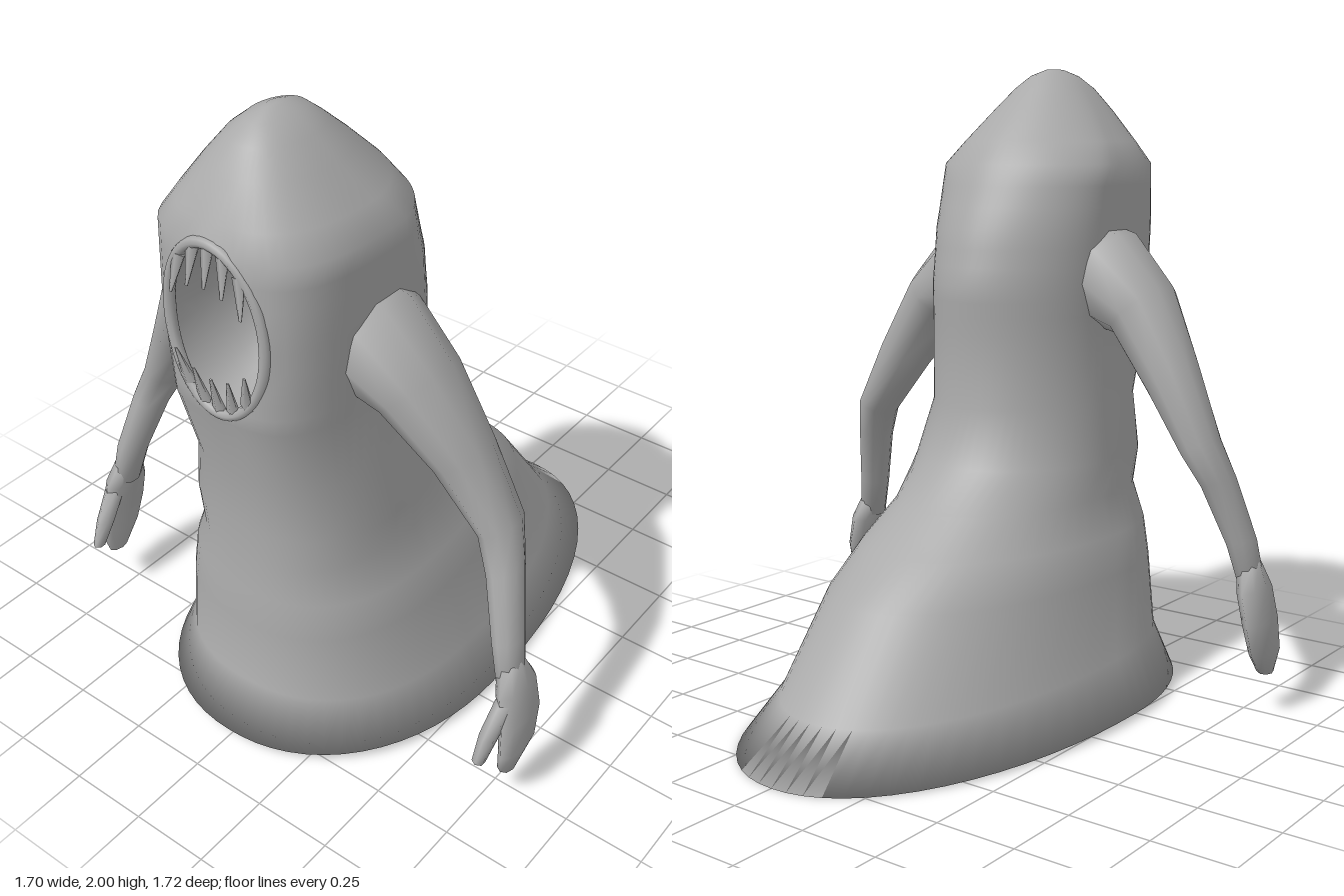
import * as THREE from 'three';

const SKIN = 0xaaaaaa;
const material = new THREE.MeshStandardMaterial({ color: SKIN });
const MOUTH = { y: 1.455, z: 0.8, rx: 0.168, ry: 0.262 };

// The face curves back slightly towards the sides of the mouth
const sag = (x) => -0.012 * (x / MOUTH.rx) ** 2;

// Skins a list of closed rings (arrays of Vector3) and caps both ends; keep() can leave faces out
function loft(rings, keep = () => true) {
  const n = rings[0].length, index = [];
  const points = rings.flat();
  const tri = (a, b, c) => { if (keep(a, b, c)) index.push(a, b, c); };
  for (let i = 0; i < rings.length - 1; i++) {
    for (let j = 0; j < n; j++) {
      const k = (j + 1) % n;
      const a = i * n + j, b = i * n + k, c = a + n, d = b + n;
      tri(a, b, d);
      tri(a, d, c);
    }
  }
  // Caps share the end corners, so the shading rolls over the edge
  for (const start of [0, (rings.length - 1) * n]) {
    const mid = new THREE.Vector3();
    for (let j = 0; j < n; j++) mid.addScaledVector(points[start + j], 1 / n);
    points.push(mid);
    for (let j = 0; j < n; j++) {
      const a = start + j, b = start + (j + 1) % n;
      index.push(...(start === 0 ? [b, a] : [a, b]), points.length - 1);
    }
  }
  const geometry = new THREE.BufferGeometry().setFromPoints(points);
  geometry.setIndex(index);
  geometry.computeVertexNormals();
  return geometry;
}

function addMesh(parent, name, geometry, mat = material) {
  const mesh = new THREE.Mesh(geometry, mat);
  mesh.name = name;
  parent.add(mesh);
  return mesh;
}

// y at the front, drop towards the back, front z, back z, half width,
// z of widest point, front and back squareness
const BODY = [
  [0.03, 0.03, 0.86, -0.86, 0.53, 0.2, 2.15, 2.1],
  [0.19, 0.05, 0.78, -0.7, 0.45, 0.22, 2.3, 2.1],
  [0.42, 0, 0.77, -0.49, 0.4, 0.28, 2.4, 2.1],
  [0.54, 0, 0.757, -0.33, 0.37, 0.31, 2.45, 2.1],
  [0.65, 0, 0.745, -0.18, 0.315, 0.33, 2.5, 2.1],
  [0.77, 0, 0.745, -0.045, 0.33, 0.36, 2.5, 2],
  [0.95, 0, 0.745, 0.02, 0.287, 0.38, 2.7, 2],
  [1.18, 0, 0.8, 0.01, 0.285, 0.37, 3.3, 1.9],
  [1.33, 0, 0.803, 0, 0.29, 0.36, 3.5, 1.8],
  [1.5, 0, 0.803, 0.04, 0.297, 0.36, 3.5, 1.8],
  [1.7, 0, 0.797, 0.125, 0.304, 0.38, 3.2, 1.8],
  [1.77, 0, 0.775, 0.175, 0.255, 0.43, 2.7, 1.8],
  [1.87, 0, 0.715, 0.28, 0.175, 0.48, 2.4, 1.9],
  [1.94, 0, 0.66, 0.36, 0.115, 0.5, 2.2, 2],
  [1.98, 0, 0.61, 0.41, 0.065, 0.51, 2, 2],
  [2.0, 0, 0.55, 0.47, 0.02, 0.51, 2, 2],
];

function bodyRing([y, drop, zf, zb, w, zc, nf, nb]) {
  return Array.from({ length: 64 }, (_, j) => {
    const t = (j / 64) * Math.PI * 2, s = Math.sin(t), c = Math.cos(t);
    const n = c > 0 ? nf : nb;
    const r = (Math.abs(s) ** n + Math.abs(c) ** n) ** (-1 / n);
    const z = zc + r * c * (c > 0 ? zf - zc : zc - zb);
    return new THREE.Vector3(r * s * w, y - drop * (zf - z) / (zf - zb), z);
  });
}

function bodyGeometry() {
  const rings = [bodyRing(BODY[0])];
  for (let i = 1; i < BODY.length; i++) {
    const a = BODY[i - 1], b = BODY[i];
    // Finer rows only around the mouth
    const steps = a[0] > 1.1 && b[0] < 1.75 ? Math.ceil((b[0] - a[0]) / 0.07) : 1;
    for (let k = 1; k <= steps; k++) rings.push(bodyRing(a.map((v, m) => v + (b[m] - v) * k / steps)));
  }
  // Points within the mouth move out to its edge; faces wholly inside are left open
  const inside = rings.flat().map((p) => {
    const r = Math.hypot(p.x / MOUTH.rx, (p.y - MOUTH.y) / MOUTH.ry);
    if (p.z < 0.65 || r >= 1) return false;
    if (r > 0.01) {
      p.x /= r;
      p.y = MOUTH.y + (p.y - MOUTH.y) / r;
      p.z = MOUTH.z + sag(p.x);
    }
    return true;
  });
  return loft(rings, (a, b, c) => !(inside[a] && inside[b] && inside[c]));
}

// Limb from [x, y, z, radius across, radius in z]; side is +1 left, -1 right
function limb(sections, side, sides = 10) {
  const rings = sections.map(([x, y, z, ru, rz], i) => {
    const p = sections[Math.max(i - 1, 0)], q = sections[Math.min(i + 1, sections.length - 1)];
    const dx = q[0] - p[0], dy = q[1] - p[1], len = Math.hypot(dx, dy);
    return Array.from({ length: sides }, (_, j) => {
      const t = -side * (j / sides) * Math.PI * 2, u = ru * Math.sin(t);
      return new THREE.Vector3(side * (x - u * dy / len), y + u * dx / len, z + rz * Math.cos(t));
    });
  });
  return loft(rings);
}

const ARM = [
  [0.16, 1.4, 0.43, 0.14, 0.16],
  [0.25, 1.35, 0.43, 0.165, 0.17],
  [0.4, 1.25, 0.425, 0.113, 0.145],
  [0.53, 1.05, 0.39, 0.088, 0.105],
  [0.645, 0.85, 0.37, 0.062, 0.083],
  [0.69, 0.74, 0.405, 0.055, 0.068],
  [0.745, 0.55, 0.46, 0.047, 0.058],
  [0.772, 0.42, 0.48, 0.04, 0.05],
];
const HAND = [
  [0.765, 0.48, 0.475, 0.037, 0.045],
  [0.787, 0.4, 0.475, 0.043, 0.085],
  [0.807, 0.3, 0.48, 0.04, 0.092],
  [0.815, 0.2, 0.5, 0.033, 0.085],
  [0.805, 0.125, 0.53, 0.024, 0.035],
];
const THUMB = [
  [0.79, 0.38, 0.525, 0.028, 0.045],
  [0.78, 0.29, 0.59, 0.028, 0.036],
  [0.775, 0.215, 0.635, 0.02, 0.02],
];

function createMouth() {
  const mouth = new THREE.Group();
  mouth.name = 'mouth';
  mouth.position.set(0, MOUTH.y, MOUTH.z);

  // Throat hollow
  const throat = new THREE.SphereGeometry(1, 32, 12, 0, Math.PI * 2, 0, Math.PI / 2);
  throat.rotateX(-Math.PI / 2).scale(MOUTH.rx, MOUTH.ry, 0.4);
  const pos = throat.attributes.position;
  for (let i = 0; i < pos.count; i++) pos.setZ(i, pos.getZ(i) + sag(pos.getX(i)));
  addMesh(mouth, 'throat', throat, new THREE.MeshStandardMaterial({ color: SKIN, side: THREE.BackSide }));

  // Lip following the oval edge
  const oval = Array.from({ length: 32 }, (_, i) => {
    const t = (i / 32) * Math.PI * 2, x = MOUTH.rx * Math.cos(t);
    return new THREE.Vector3(x, MOUTH.ry * Math.sin(t), sag(x) - 0.01);
  });
  addMesh(mouth, 'lip', new THREE.TubeGeometry(new THREE.CatmullRomCurve3(oval, true), 64, 0.017, 8, true));

  // Five flat teeth on each jaw, rooted inside the lip and leaning out
  for (const jaw of [1, -1]) {
    for (let i = -2; i <= 2; i++) {
      const x = i * 0.052;
      const y = (MOUTH.ry - 0.012) * Math.sqrt(1 - (x / MOUTH.rx) ** 2);
      const tooth = addMesh(mouth, jaw > 0 ? 'upperTooth' : 'lowerTooth', new THREE.CylinderGeometry(0.005, 0.023, 0.115, 5));
      tooth.geometry.translate(0, 0.055, 0);
      tooth.scale.z = 0.6;
      tooth.position.set(x, jaw * y, -0.01);
      tooth.rotation.set(jaw * -0.22, 0, (jaw > 0 ? Math.PI : 0) + jaw * i * 0.08);
    }
  }
  return mouth;
}

export function createModel() {
  const model = new THREE.Group();
  model.name = 'creature';
  addMesh(model, 'body', bodyGeometry());
  model.add(createMouth());
  for (const side of [1, -1]) {
    const arm = new THREE.Group();
    arm.name = side > 0 ? 'leftArm' : 'rightArm';
    addMesh(arm, 'arm', limb(ARM, side));
    addMesh(arm, 'hand', limb(HAND, side, 8));
    addMesh(arm, 'thumb', limb(THUMB, side, 6));
    model.add(arm);
  }
  return model;
}
